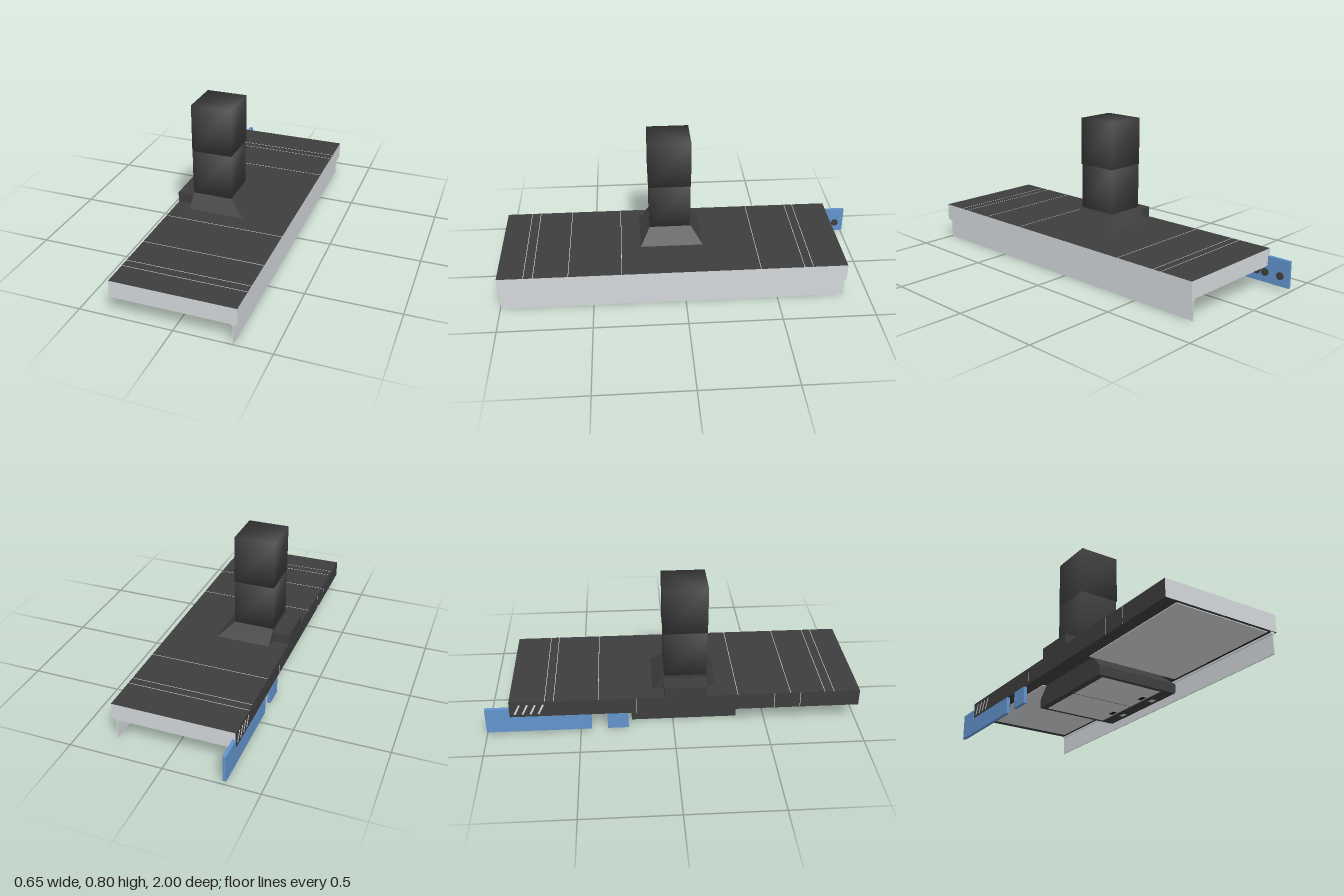
import * as THREE from 'three';
import { mergeVertices } from 'three/addons/utils/BufferGeometryUtils.js';

const mat = (name, color) => {
  const m = new THREE.MeshStandardMaterial({ color });
  m.name = name;
  return m;
};

export function createModel() {
  const group = new THREE.Group();
  const dark = mat('charcoal', 0x3e3e3e);
  const black = mat('black', 0x1c1c1c);
  const light = mat('light grey', 0xd4d8db);
  const blue = mat('blue', 0x6294cd);

  const add = (name, geometry, material) => {
    const mesh = new THREE.Mesh(geometry, material);
    mesh.name = name;
    group.add(mesh);
    return mesh;
  };
  // Box given by its lower and upper limits
  const box = (name, material, x0, x1, y0, y1, z0, z1) => {
    const mesh = add(name, new THREE.BoxGeometry(x1 - x0, y1 - y0, z1 - z0), material);
    mesh.position.set((x0 + x1) / 2, (y0 + y1) / 2, (z0 + z1) / 2);
    return mesh;
  };
  // The same box with normals shared across its edges
  const smoothBox = (...args) => {
    const mesh = box(...args);
    const g = mesh.geometry;
    g.deleteAttribute('normal');
    g.deleteAttribute('uv');
    mesh.geometry = mergeVertices(g);
    mesh.geometry.computeVertexNormals();
    return mesh;
  };
  // Box whose top face is fitted to its own rectangle; limits are [x0, x1, z0, z1]
  const taper = (name, material, y0, y1, bottom, top) => {
    const g = new THREE.BoxGeometry(1, 1, 1);
    const p = g.attributes.position;
    for (let i = 0; i < p.count; i++) {
      const up = p.getY(i) > 0;
      const r = up ? top : bottom;
      p.setXYZ(i, p.getX(i) < 0 ? r[0] : r[1], up ? y1 : y0, p.getZ(i) < 0 ? r[2] : r[3]);
    }
    g.computeVertexNormals();
    return add(name, g, material);
  };

  // Ceiling slab: dark top, back and underside, light front edge and ends
  box('slab', [light, dark, dark, dark, light, light], -0.326, 0.326, 0.113, 0.205, -0.87, 1);

  // Seams between the top boards, and on the back edge
  for (const z of [-0.682, -0.635, -0.4, 0.342, 0.625, 0.81, 0.86])
    box('topSeam', light, -0.326, 0.326, 0.2045, 0.2054, z - 0.0015, z + 0.0015);
  for (const z of [-0.2, 0.54, 0.68])
    box('backSeam', light, -0.3264, -0.3255, 0.115, 0.205, z - 0.0015, z + 0.0015);

  // Slanted vent slots in the back edge
  for (let i = 0; i < 4; i++) {
    const slot = box('ventSlot', light, -0.327, -0.3255, 0.125, 0.19, -0.835 + i * 0.042, -0.825 + i * 0.042);
    slot.rotation.x = 0.45;
  }

  // Underside panels, either side of the hood
  box('rearUndersidePanel', light, -0.255, 0.28, 0.109, 0.114, -0.825, -0.17);
  box('frontUndersidePanel', light, -0.255, 0.28, 0.109, 0.114, 0.29, 0.985);
  box('shadowGap', black, 0.282, 0.293, 0.109, 0.114, -0.86, 0.99);

  // Hanging skirt and its rail
  box('skirtRail', light, 0.294, 0.314, 0.1, 0.113, -0.865, 0.995);
  box('skirt', light, 0.3, 0.306, 0, 0.113, -0.865, 0.995);

  // Chimney
  taper('chimneyBase', dark, 0.205, 0.281, [-0.234, 0.068, -0.11, 0.234], [-0.234, -0.014, -0.048, 0.181]);
  smoothBox('lowerChimney', dark, -0.234, -0.014, 0.281, 0.537, -0.046, 0.18);
  smoothBox('upperChimney', dark, -0.234, -0.011, 0.533, 0.795, -0.05, 0.183);
  box('backDuct', dark, -0.327, -0.2, 0.205, 0.262, -0.05, 0.177);

  // Hood below the slab
  taper('hoodCanopy', dark, 0.052, 0.113, [-0.234, 0.235, -0.225, 0.348], [-0.234, 0.17, -0.165, 0.288]);
  box('hoodBody', dark, -0.234, 0.232, 0.001, 0.052, -0.225, 0.348);
  box('hoodFront', dark, 0.232, 0.236, 0.006, 0.05, -0.225, 0.348);

  // Two filters with their latches and lamps
  for (const [z0, z1] of [[-0.205, 0.058], [0.064, 0.325]]) {
    const mid = (z0 + z1) / 2;
    smoothBox('filter', light, -0.2, 0.155, 0, 0.005, z0, z1);
    box('filterLatch', black, 0.12, 0.145, -0.001, 0.003, mid - 0.022, mid + 0.022);
    box('lamp', light, 0.188, 0.212, 0, 0.003, mid - 0.018, mid + 0.018);
  }

  // Control buttons on the hood front
  for (let i = 0; i < 5; i++)
    box('button', light, 0.235, 0.239, 0.018, 0.034, -0.175 + i * 0.029, -0.162 + i * 0.029);

  // Blue mounting plates behind the back edge, with dark studs
  const plate = new THREE.Shape();
  [[1, 0.02], [1, 0.166], [0.871, 0.166], [0.871, 0.113], [0.44, 0.113], [0.44, 0.02]]
    .forEach(([x, y], i) => (i ? plate.lineTo(x, y) : plate.moveTo(x, y)));
  const plateGeometry = new THREE.ExtrudeGeometry(plate, { depth: 0.018, bevelEnabled: false });
  plateGeometry.rotateY(Math.PI / 2);
  plateGeometry.translate(-0.328, 0, 0);
  add('longMountingPlate', plateGeometry, blue);
  box('shortMountingPlate', blue, -0.328, -0.31, 0.02, 0.113, -0.355, -0.243);
  for (const z of [-0.95, -0.86, -0.81, -0.76, -0.71, -0.66, -0.61, -0.565, -0.475, -0.295]) {
    const stud = add('stud', new THREE.CylinderGeometry(0.02, 0.02, 0.012, 20), dark);
    stud.rotation.z = Math.PI / 2;
    stud.position.set(-0.306, 0.078, z);
  }

  return group;
}
